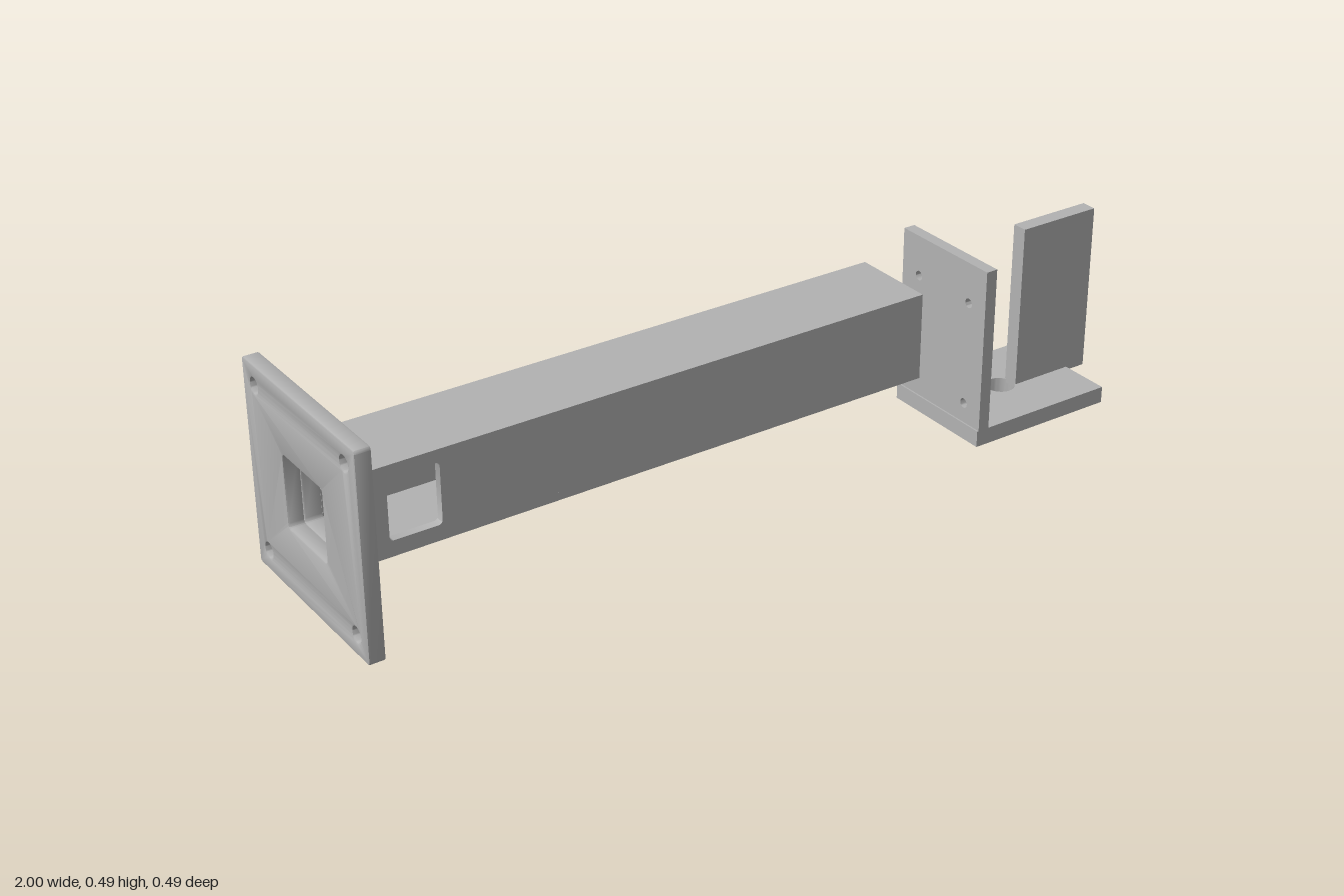
import * as THREE from 'three';
import { toCreasedNormals } from 'three/addons/utils/BufferGeometryUtils.js';

const steel = new THREE.MeshStandardMaterial({ color: 0xb2b2b2 });
steel.name = 'steel grey';

// Traces a rectangle, with rounded corners if r > 0
function rect(path, u0, v0, u1, v1, r = 0) {
  if (r === 0) {
    path.moveTo(u0, v0).lineTo(u1, v0).lineTo(u1, v1).lineTo(u0, v1).closePath();
    return path;
  }
  path.moveTo(u0 + r, v0);
  path.absarc(u1 - r, v0 + r, r, -Math.PI / 2, 0);
  path.absarc(u1 - r, v1 - r, r, 0, Math.PI / 2);
  path.absarc(u0 + r, v1 - r, r, Math.PI / 2, Math.PI);
  path.absarc(u0 + r, v0 + r, r, Math.PI, Math.PI * 1.5);
  path.closePath();
  return path;
}

const rectHole = (u0, v0, u1, v1, r) => rect(new THREE.Path(), u0, v0, u1, v1, r);
const roundHole = (u, v, r) => new THREE.Path().absarc(u, v, r, 0, Math.PI * 2);

// Plate spanning d0..d1 along its normal axis.
// Outline (u, v) is (x, y) for 'z', (-z, y) for 'x' and (x, -z) for 'y'.
function plate(name, axis, [u0, v0, u1, v1], d0, d1, { holes = [], radius = 0, bevel = 0 } = {}) {
  const shape = rect(new THREE.Shape(), u0, v0, u1, v1, radius);
  shape.holes.push(...holes);
  let geo = new THREE.ExtrudeGeometry(shape, {
    depth: d1 - d0 - 2 * bevel,
    bevelEnabled: bevel > 0,
    bevelThickness: bevel,
    bevelSize: bevel,
    bevelOffset: -bevel,
    bevelSegments: 2,
    curveSegments: 20,
  });
  geo.translate(0, 0, d0 + bevel);
  if (axis === 'x') geo.rotateY(Math.PI / 2);
  if (axis === 'y') geo.rotateX(-Math.PI / 2);
  geo = toCreasedNormals(geo, Math.PI / 6);
  const mesh = new THREE.Mesh(geo, steel);
  mesh.name = name;
  return mesh;
}

function group(name, ...parts) {
  const g = new THREE.Group();
  g.name = name;
  g.add(...parts);
  return g;
}

export function createModel() {
  const cy = 0.244;      // height of the tube axis
  const inner = 0.086;   // half width of the bore
  const outer = 0.106;   // half width of the tube
  const square = (h) => [-h, cy - h, h, cy + h];
  const bore = () => rectHole(...square(inner), 0.009);

  // Wall flange: base plate with corner bolt holes, then a stepped collar
  const bolts = [];
  for (const u of [-0.195, 0.195]) for (const v of [-0.195, 0.195]) bolts.push(roundHole(u, cy + v, 0.018));
  const flange = group('wallFlange',
    plate('basePlate', 'x', square(0.244), -1, -0.962, { holes: [bore(), ...bolts], radius: 0.008, bevel: 0.004 }),
    plate('collar', 'x', square(0.156), -0.963, -0.92, { holes: [bore()], radius: 0.006, bevel: 0.004 }));

  // Hollow square tube with an access window in the front wall
  const x0 = -0.922, x1 = 0.5;
  const side = [x0, cy - inner, x1, cy + inner];
  const lid = [x0, -outer, x1, outer];
  const tube = group('squareTube',
    plate('tubeTop', 'y', lid, cy + inner, cy + outer),
    plate('tubeBottom', 'y', lid, cy - outer, cy - inner),
    plate('tubeBack', 'z', side, -outer, -inner),
    plate('tubeFront', 'z', side, inner, outer, { holes: [rectHole(-0.868, 0.175, -0.746, 0.32, 0.01)] }));

  // Angle bracket: drilled foot, drilled upright and a thin fin
  const zBack = -0.049, zFront = 0.244, zMid = 0.098;
  const screws = [];
  for (const z of [0.01, 0.187]) for (const y of [0.088, 0.342]) screws.push(roundHole(-z, y, 0.0115));
  const bracket = group('angleBracket',
    plate('foot', 'y', [0.563, -zFront, 0.946, -zBack], 0, 0.04, {
      holes: [roundHole(0.755, -zMid, 0.035), roundHole(0.665, -zMid, 0.012), roundHole(0.845, -zMid, 0.012)],
    }),
    plate('upright', 'x', [-zFront, 0.04, -zBack, 0.44], 0.567, 0.596, { holes: screws }),
    plate('fin', 'z', [0.787, 0.031, 1, 0.44], 0.08, 0.117));

  return group('tubeMountWithBracket', flange, tube, bracket);
}
